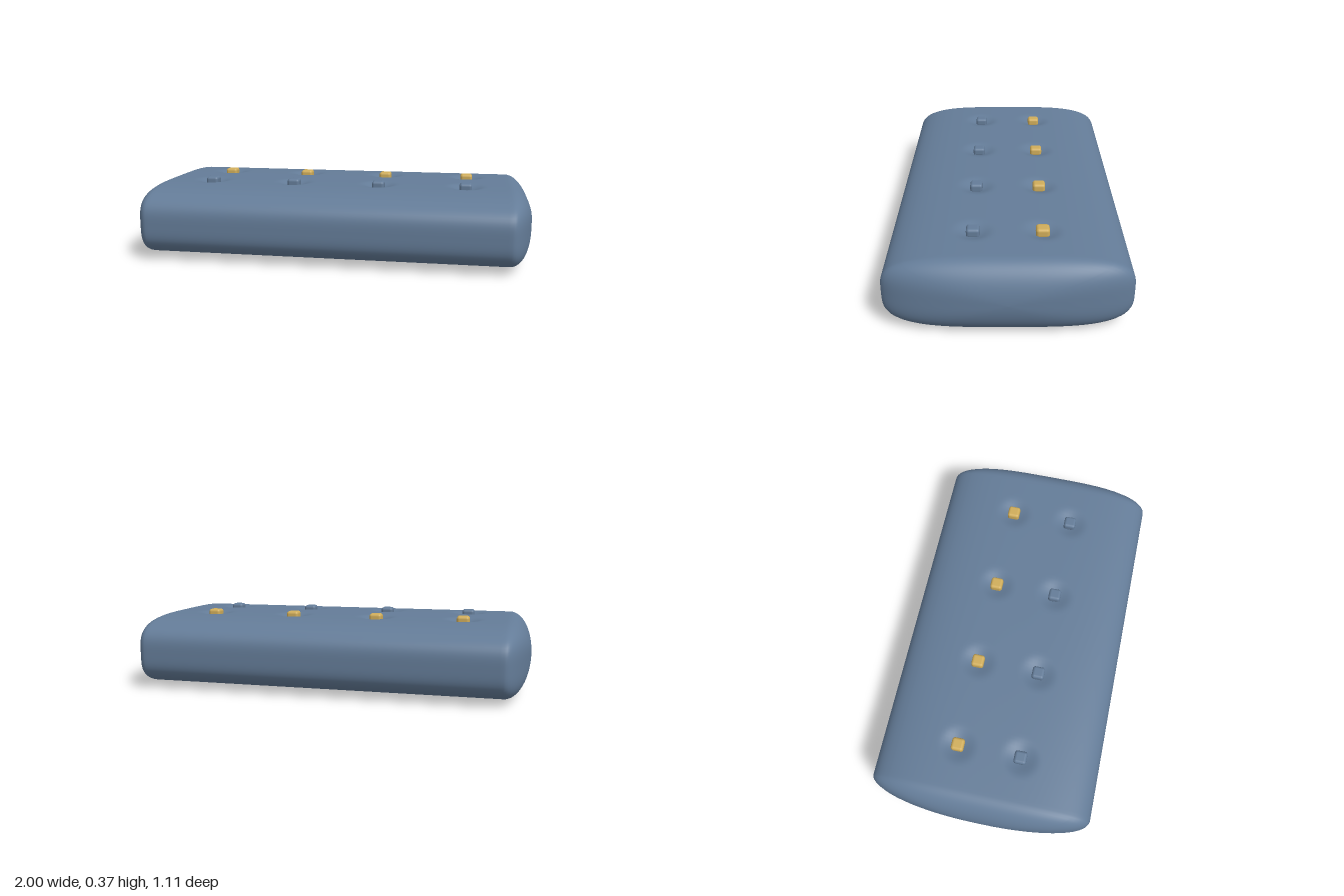
import * as THREE from 'three';
import { RoundedBoxGeometry } from 'three/addons/geometries/RoundedBoxGeometry.js';

const HALF_Y = 0.178, HALF_Z = 0.555, STRAIGHT = 0.88, BULGE = 0.12, POWER = 3.6;
const TUFTS_X = [-0.665, -0.222, 0.222, 0.665];
const TUFT_Z = 0.158;

// Unit superellipse outline, evenly spread over the sides of a square
function outline() {
  const points = [];
  const side = (steps, at) => {
    for (let i = 0; i < steps; i++) {
      const [z, y] = at(-1 + (2 * i) / steps);
      const r = Math.pow(Math.abs(z) ** POWER + Math.abs(y) ** POWER, 1 / POWER);
      points.push([z / r, y / r]);
    }
  };
  side(64, t => [t, 1]);
  side(24, t => [1, -t]);
  side(40, t => [-t, -1]);
  side(24, t => [-1, t]);
  return points;
}

// Sections along x as [x, scale]: domed end, straight body, domed end
function sections() {
  const list = [], capSteps = 16, bodySteps = 100;
  for (let i = 0; i <= capSteps; i++) {
    const a = (i / capSteps) * Math.PI / 2;
    list.push([-STRAIGHT - BULGE * Math.cos(a), Math.sin(a)]);
  }
  for (let i = 1; i < bodySteps; i++) list.push([-STRAIGHT + (2 * STRAIGHT * i) / bodySteps, 1]);
  for (let i = 0; i <= capSteps; i++) {
    const a = (i / capSteps) * Math.PI / 2;
    list.push([STRAIGHT + BULGE * Math.sin(a), Math.cos(a)]);
  }
  return list;
}

// Depth of the soft dimples pulled in around each button
function dimple(x, z) {
  let depth = 0;
  for (const tx of TUFTS_X) {
    for (const tz of [-TUFT_Z, TUFT_Z]) {
      const d = Math.hypot(x - tx, z - tz) / 0.1;
      if (d < 1) depth += 0.024 * (1 - d * d) ** 2;
    }
  }
  return depth;
}

function cushionGeometry() {
  const ring = outline(), rows = sections(), n = ring.length;
  const position = [], index = [];
  rows.forEach(([x, s], r) => {
    ring.forEach(([rz, ry], i) => {
      const z = rz * s * HALF_Z;
      let y = HALF_Y + ry * s * HALF_Y;
      if (ry > 0.5) y -= dimple(x, z);
      position.push(x, y, z);
      if (r < rows.length - 1) {
        const a = r * n + i, b = r * n + ((i + 1) % n);
        index.push(a, b, a + n, b, b + n, a + n);
      }
    });
  });
  const geometry = new THREE.BufferGeometry();
  geometry.setAttribute('position', new THREE.Float32BufferAttribute(position, 3));
  geometry.setIndex(index);
  geometry.computeVertexNormals();
  return geometry;
}

export function createModel() {
  const group = new THREE.Group();
  group.name = 'tuftedCushion';
  const fabric = new THREE.MeshStandardMaterial({ color: 0x647c98 });
  fabric.name = 'blue fabric';
  const gold = new THREE.MeshStandardMaterial({ color: 0xd0ad5a });
  gold.name = 'gold';

  // Padded body
  const body = new THREE.Mesh(cushionGeometry(), fabric);
  body.name = 'cushion';
  group.add(body);

  // Two rows of square buttons: fabric in front, gold at the back
  const buttonGeometry = new RoundedBoxGeometry(0.063, 0.045, 0.063, 4, 0.014);
  for (const [z, material, name] of [[TUFT_Z, fabric, 'frontButton'], [-TUFT_Z, gold, 'backButton']]) {
    TUFTS_X.forEach((x, i) => {
      const button = new THREE.Mesh(buttonGeometry, material);
      button.name = name + (i + 1);
      button.position.set(x, 0.35, z);
      group.add(button);
    });
  }
  return group;
}
